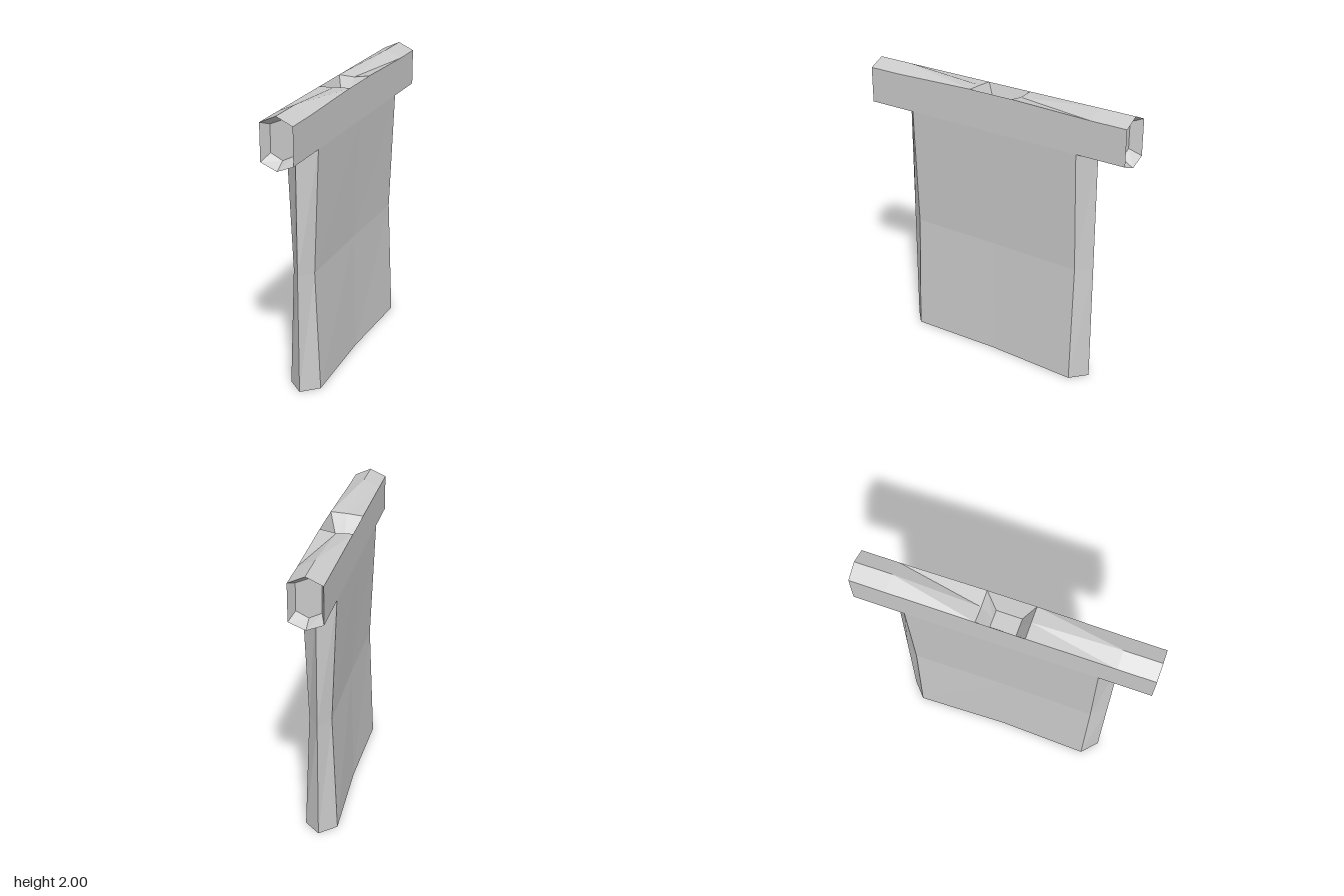
import * as THREE from 'three';

// Skins a list of closed rings with flat facets; skip(i, j) leaves a quad open.
function loft(name, rings, { capStart = false, capEnd = false, skip = () => false } = {}) {
  const pos = [];
  const tri = (a, b, c) => pos.push(...a, ...b, ...c);
  const n = rings[0].length;
  for (let i = 0; i < rings.length - 1; i++) {
    for (let j = 0; j < n; j++) {
      if (skip(i, j)) continue;
      const k = (j + 1) % n;
      const a = rings[i][j], b = rings[i][k], c = rings[i + 1][k], d = rings[i + 1][j];
      tri(a, b, c);
      tri(a, c, d);
    }
  }
  const first = rings[0], last = rings[rings.length - 1];
  for (let j = 1; j < n - 1; j++) {
    if (capStart) tri(first[0], first[j + 1], first[j]);
    if (capEnd) tri(last[0], last[j], last[j + 1]);
  }
  const geometry = new THREE.BufferGeometry();
  geometry.setAttribute('position', new THREE.Float32BufferAttribute(pos, 3));
  geometry.computeVertexNormals();
  const mesh = new THREE.Mesh(geometry, new THREE.MeshStandardMaterial({ color: 0xcccccc, flatShading: true }));
  mesh.name = name;
  return mesh;
}

// Plan section of the slab: pointed ends, broad faces slightly hollowed at the middle.
function slabRing(y, w, mid, edge = 0.65, tip = 0.75) {
  return [
    [0, y, tip], [w, y, edge], [mid, y, 0], [w, y, -edge],
    [0, y, -tip], [-w, y, -edge], [-mid, y, 0], [-w, y, edge],
  ];
}

// Upright hexagonal section of the crossbar.
function barRing(z, { w = 0.11, low = 1.655, lowSide = 1.7, right = 1.95, left = 1.95, ridge = 2 } = {}) {
  return [[w, lowSide, z], [w, right, z], [0, ridge, z], [-w, left, z], [-w, lowSide, z], [0, low, z]];
}

export function createModel() {
  const group = new THREE.Group();
  group.name = 'slabWithCrossbar';

  // Waisted slab with a hollow in its foot
  group.add(loft('slab', [
    slabRing(0.22, 0.08, 0.06, 0.62, 0.71),
    slabRing(0, 0.11, 0.09),
    slabRing(0.85, 0.075, 0.068),
    slabRing(1.7, 0.11, 0.11),
  ], { capStart: true }));

  // Crossbar with a sunken panel in each end, left open over the socket
  const panel = { w: 0.08, low: 1.7, lowSide: 1.74, right: 1.92, left: 1.92, ridge: 1.955 };
  const backRim = { right: 1.965, ridge: 1.945 };
  const frontRim = { right: 1.965, ridge: 1.96 };
  const s = 0.163;
  group.add(loft('crossbar', [
    barRing(-0.92, panel),
    barRing(-1),
    barRing(-0.75),
    barRing(-s, backRim),
    barRing(s, frontRim),
    barRing(0.75),
    barRing(1),
    barRing(0.92, panel),
  ], { capStart: true, capEnd: true, skip: (i, j) => i === 3 && (j === 1 || j === 2) }));

  // Tapered socket sunk into the top
  const socketRing = (x, z, right, left, front, back) => [
    [-x, left, z], [0, front, z], [x, right, z],
    [x, right, -z], [0, back, -z], [-x, left, -z],
  ];
  group.add(loft('topSocket', [
    socketRing(0.11, s, 1.965, 1.95, 1.96, 1.945),
    socketRing(0.06, 0.087, 1.82, 1.82, 1.82, 1.82),
  ], { capEnd: true }));

  return group;
}
